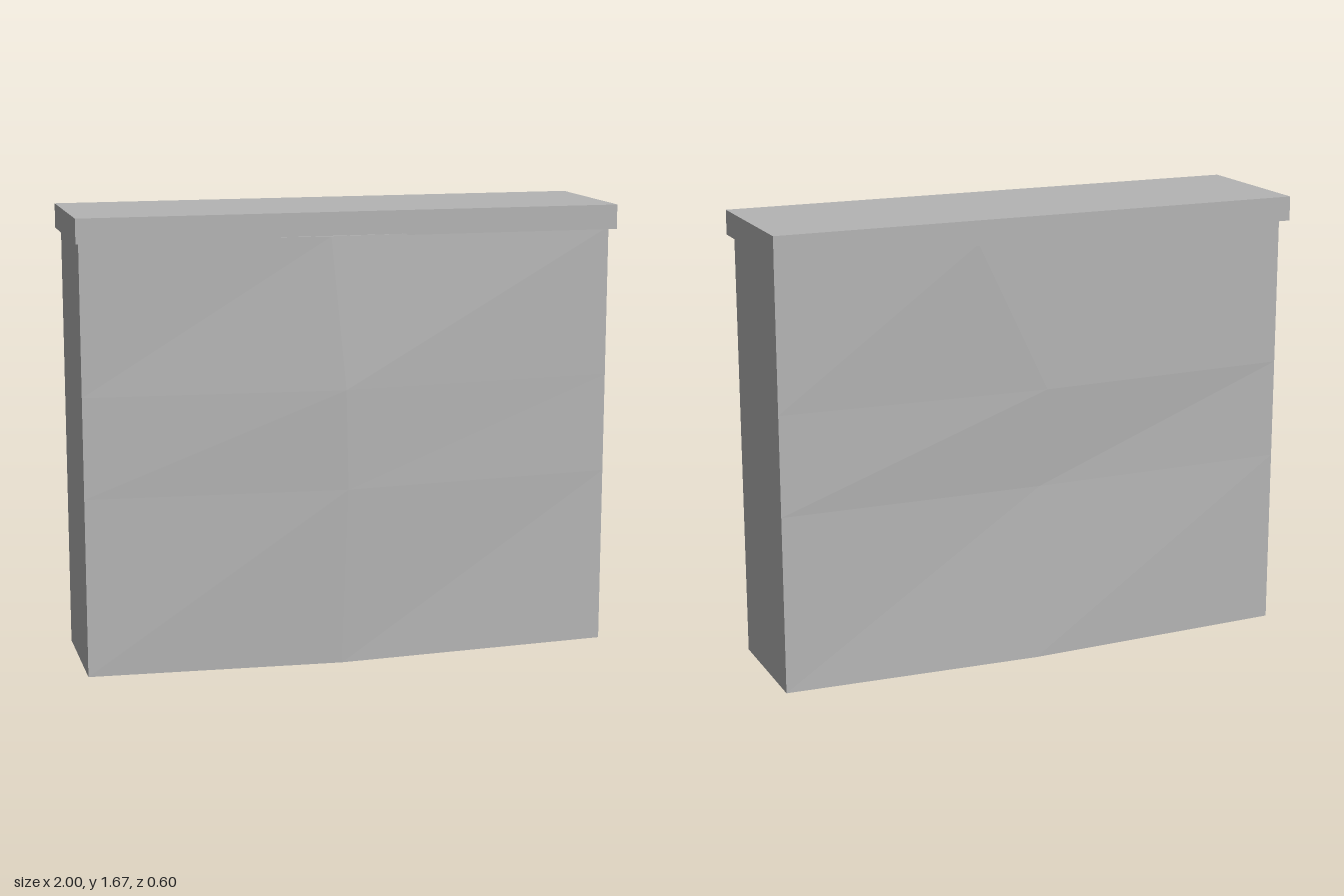
import * as THREE from 'three';

// Height of each section with the x, z of its front and back ridge points
const SECTIONS = [
  { y: 0.0, front: [-0.05, 0.275], back: [0.02, -0.29] },
  { y: 0.66, front: [-0.03, 0.292], back: [0.0, -0.265] },
  { y: 1.03, front: [-0.04, 0.3], back: [-0.02, -0.288] },
  { y: 1.585, front: [-0.09, 0.276], back: [0.25, -0.295] },
];
const HALF_WIDTH = 0.985, FRONT_EDGE = 0.215, BACK_EDGE = -0.25;

// Faceted slab lofted through six-sided sections
function wallGeometry() {
  const rings = SECTIONS.map(({ y, front, back }) => [
    [-HALF_WIDTH, y, FRONT_EDGE], [front[0], y, front[1]], [HALF_WIDTH, y, FRONT_EDGE],
    [HALF_WIDTH, y, BACK_EDGE], [back[0], y, back[1]], [-HALF_WIDTH, y, BACK_EDGE],
  ]);
  const n = 6, top = rings.length - 1, index = [];
  for (let r = 0; r < top; r++) {
    for (let i = 0; i < n; i++) {
      const a = r * n + i, b = r * n + (i + 1) % n;
      index.push(a, b, b + n, a, b + n, a + n);
    }
  }
  // Bottom and top faces
  for (let i = 1; i < n - 1; i++) {
    index.push(0, i + 1, i);
    index.push(top * n, top * n + i, top * n + i + 1);
  }
  const geometry = new THREE.BufferGeometry();
  geometry.setAttribute('position', new THREE.Float32BufferAttribute(rings.flat(2), 3));
  geometry.setIndex(index);
  const faceted = geometry.toNonIndexed();
  faceted.computeVertexNormals();
  return faceted;
}

export function createModel() {
  const group = new THREE.Group();
  group.name = 'wallSegment';
  const stone = new THREE.MeshStandardMaterial({ color: 0xb4b4b4 });
  stone.name = 'grey stone';

  // Uneven wall body
  const wall = new THREE.Mesh(wallGeometry(), stone);
  wall.name = 'wallBody';
  group.add(wall);

  // Flat coping slab, set slightly towards the back
  const coping = new THREE.Mesh(new THREE.BoxGeometry(2, 0.09, 0.56), stone);
  coping.name = 'copingSlab';
  coping.position.set(0, 1.625, -0.02);
  group.add(coping);

  return group;
}
